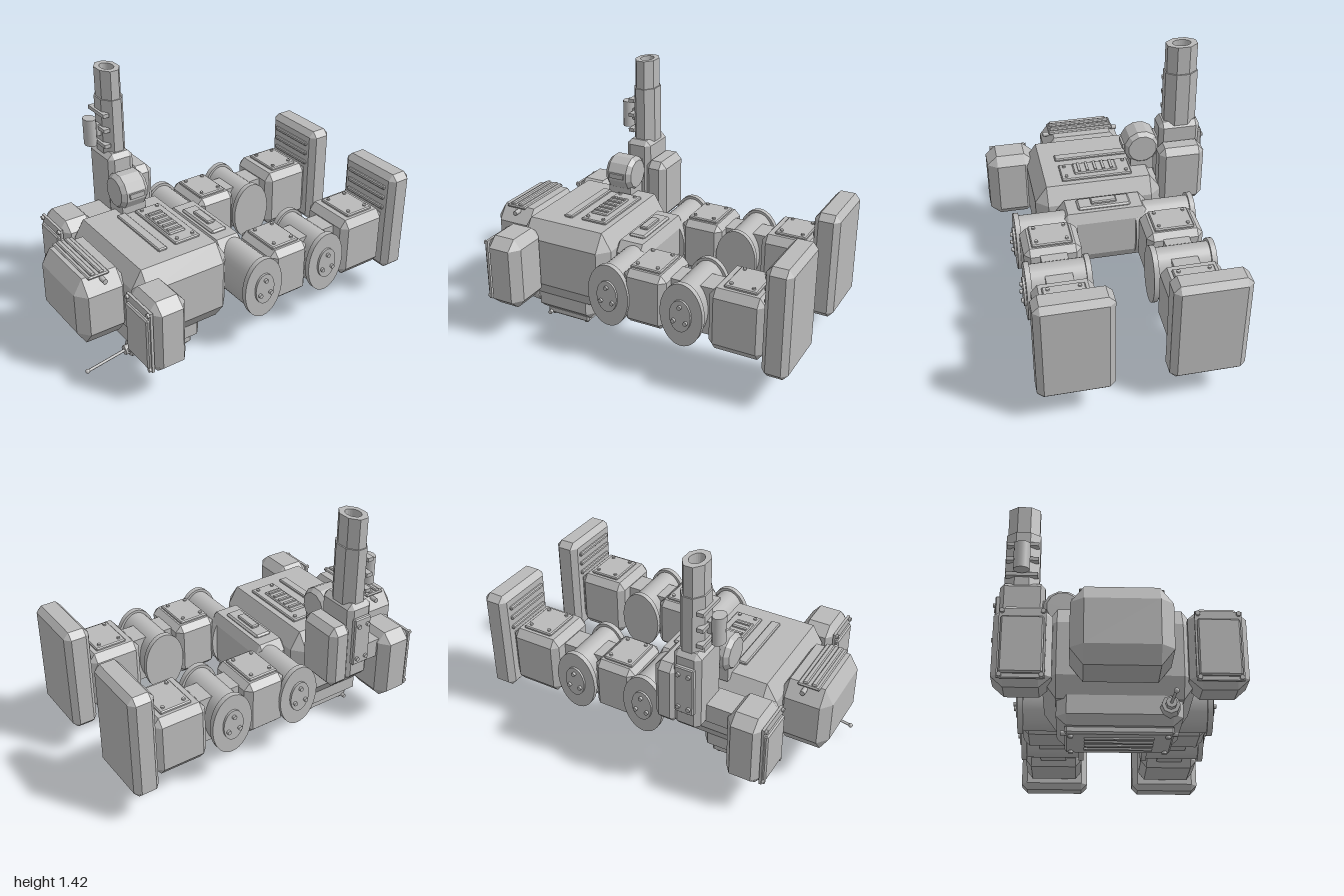
import * as THREE from 'three';
import { ConvexGeometry } from 'three/addons/geometries/ConvexGeometry.js';

const grey = new THREE.MeshStandardMaterial({ color: 0xbababa });
grey.name = 'plain grey';

function add(parent, name, geometry) {
  const mesh = new THREE.Mesh(geometry, grey);
  mesh.name = name;
  parent.add(mesh);
  return mesh;
}

// Block given by its bounds, with every edge cut by the chamfer c = [x, y, z]
function block(parent, name, xs, ys, zs, c) {
  const pts = [];
  for (const i of [0, 1]) for (const j of [0, 1]) for (const k of [0, 1]) {
    const inner = [xs[i] + (i ? -c[0] : c[0]), ys[j] + (j ? -c[1] : c[1]), zs[k] + (k ? -c[2] : c[2])];
    pts.push(new THREE.Vector3(xs[i], inner[1], inner[2]),
      new THREE.Vector3(inner[0], ys[j], inner[2]),
      new THREE.Vector3(inner[0], inner[1], zs[k]));
  }
  return add(parent, name, new ConvexGeometry(pts));
}

function box(parent, name, xs, ys, zs) {
  const g = new THREE.BoxGeometry(xs[1] - xs[0], ys[1] - ys[0], zs[1] - zs[0]);
  g.translate((xs[0] + xs[1]) / 2, (ys[0] + ys[1]) / 2, (zs[0] + zs[1]) / 2);
  return add(parent, name, g);
}

// Cylinder along an axis; p is its centre
function rod(parent, name, axis, p, r, len, sides = 12, r2 = r) {
  const g = new THREE.CylinderGeometry(r2, r, len, sides);
  if (axis === 'x') g.rotateZ(-Math.PI / 2);
  if (axis === 'z') g.rotateX(Math.PI / 2);
  const m = add(parent, name, g);
  m.position.set(...p);
  return m;
}

// Raised plate on an upper face with a bolt in each corner
function topPlate(parent, name, x, z, hw, hd, y) {
  block(parent, name, [x - hw, x + hw], [y - 0.01, y + 0.012], [z - hd, z + hd], [0.006, 0.006, 0.006]);
  for (const i of [-1, 1]) for (const j of [-1, 1])
    rod(parent, 'plateBolt', 'y', [x + i * (hw - 0.03), y + 0.014, z + j * (hd - 0.03)], 0.01, 0.014);
}

function buildLeg(s) {
  const leg = new THREE.Group();
  leg.name = s > 0 ? 'leftLeg' : 'rightLeg';
  const cx = s * 0.348;
  const span = h => [cx - h, cx + h];

  // Hip and knee drums, taller than deep
  for (const [name, z, y, both] of [['hip', 0.04, 0.41, false], ['knee', -0.4, 0.41, true]]) {
    const drum = rod(leg, name + 'Drum', 'x', [cx, y, z], 0.107, 0.35, 36);
    drum.scale.y = 1.57;
    for (const e of both ? [-1, 1] : [1]) {
      const flange = rod(leg, name + 'Flange', 'x', [cx + s * e * 0.165, y, z], 0.124, 0.03, 36);
      flange.scale.y = 1.48;
    }
    const cap = rod(leg, name + 'Cap', 'x', [cx + s * 0.18, y, z], 0.062, 0.025, 28);
    cap.scale.y = 1.5;
    for (const [by, bz] of [[0.055, 0], [-0.03, 0.035], [-0.03, -0.035]])
      rod(leg, name + 'Bolt', 'x', [cx + s * 0.195, y + by, z + bz], 0.012, 0.024);
  }

  // Thigh, shin and the links between joints
  block(leg, 'thigh', span(0.163), [0.26, 0.58], [-0.29, -0.035], [0.035, 0.035, 0.035]);
  topPlate(leg, 'thighPlate', cx, -0.155, 0.115, 0.09, 0.582);
  block(leg, 'shin', span(0.168), [0.24, 0.6], [-0.85, -0.54], [0.035, 0.045, 0.035]);
  topPlate(leg, 'shinPlate', cx, -0.7, 0.115, 0.092, 0.602);
  box(leg, 'kneeLink', span(0.075), [0.27, 0.55], [-0.56, -0.27]);
  box(leg, 'ankleLink', span(0.13), [0.3, 0.56], [-0.9, -0.82]);

  // Foot plate with raised bars on its upper side
  block(leg, 'foot', span(0.205), [0.19, 0.815], [-1, -0.855], [0.035, 0.035, 0.03]);
  for (const y of [0.73, 0.665, 0.6])
    block(leg, 'footBar', span(0.15), [y - 0.012, y + 0.012], [-0.865, -0.84], [0.006, 0.006, 0.006]);
  return leg;
}

function buildArm(s) {
  const arm = new THREE.Group();
  arm.name = s > 0 ? 'leftArm' : 'rightArm';
  const cx = s * 0.475;
  block(arm, 'armBlock', [cx - 0.145, cx + 0.145], [0.195, 0.625], [0.575, 0.79], [0.06, 0.055, 0.045]);
  block(arm, 'armPlate', [cx - 0.105, cx + 0.105], [0.245, 0.545], [0.78, 0.812], [0.008, 0.008, 0.008]);
  box(arm, 'armPlateBase', [cx - 0.115, cx + 0.115], [0.225, 0.59], [0.78, 0.795]);
  for (const i of [-1, 1]) for (const y of [0.575, 0.237])
    rod(arm, 'armBolt', 'z', [cx + i * 0.1, y, 0.798], 0.012, 0.02);
  return arm;
}

function buildCannon() {
  const cannon = new THREE.Group();
  cannon.name = 'cannon';
  const cx = -0.515, cz = 0.362;
  block(cannon, 'cannonBase', [cx - 0.115, cx + 0.13], [0.46, 0.94], [0.285, 0.445], [0.025, 0.03, 0.03]);
  block(cannon, 'cannonPod', [-0.635, -0.365], [0.45, 0.825], [0.172, 0.31], [0.035, 0.04, 0.035]);
  box(cannon, 'cannonLink', [-0.55, -0.39], [0.48, 0.59], [0.42, 0.6]);
  block(cannon, 'sidePlate', [-0.65, -0.62], [0.57, 0.86], [0.31, 0.42], [0.006, 0.006, 0.006]);
  for (const y of [0.61, 0.815]) for (const z of [0.335, 0.395])
    rod(cannon, 'sideBolt', 'x', [-0.652, y, z], 0.012, 0.02);

  // Flattened eight-sided barrel with an open bore
  const oct = (rx, rz) => Array.from({ length: 8 }, (_, i) => {
    const a = (i + 0.5) * Math.PI / 4, k = 1 / Math.cos(Math.PI / 8);
    return new THREE.Vector2(Math.cos(a) * rx * k, Math.sin(a) * rz * k);
  });
  const tube = (name, rx, rz, y0, y1, bore) => {
    const shape = new THREE.Shape(oct(rx, rz));
    if (bore) shape.holes.push(new THREE.Path().absellipse(0, 0, rx * 0.6, rz * 0.6, 0, Math.PI * 2, true));
    const g = new THREE.ExtrudeGeometry(shape, { depth: y1 - y0, bevelEnabled: false, curveSegments: 12 });
    g.rotateX(-Math.PI / 2);
    add(cannon, name, g).position.set(cx, y0, cz);
  };
  tube('lowerBarrel', 0.095, 0.07, 0.92, 1.255, false);
  tube('upperBarrel', 0.088, 0.062, 1.25, 1.425, true);
  for (const y of [0.985, 1.08, 1.172])
    box(cannon, 'barrelBand', [cx - 0.088, cx + 0.088], [y - 0.011, y + 0.011], [0.41, 0.447]);
  const sight = rod(cannon, 'sight', 'y', [cx, 1.065, 0.49], 0.045, 0.16, 12);
  sight.scale.z = 0.8;
  box(cannon, 'sightMount', [cx - 0.02, cx + 0.02], [1.03, 1.1], [0.42, 0.47]);

  // Ammunition drum beside the cannon
  const dx = -0.29, dy = 0.77, turn = Math.PI / 12;
  const profile = [[0, -0.085], [0.085, -0.085], [0.107, -0.06], [0.107, 0.06], [0.085, 0.085], [0, 0.085]]
    .map(p => new THREE.Vector2(...p));
  const drum = new THREE.LatheGeometry(profile, 12, turn).rotateX(Math.PI / 2).toNonIndexed();
  drum.computeVertexNormals();
  add(cannon, 'drum', drum).position.set(dx, dy, 0.395);
  box(cannon, 'drumMount', [dx - 0.07, dx + 0.07], [0.62, 0.7], [0.32, 0.47]);
  box(cannon, 'drumLink', [-0.42, -0.33], [0.71, 0.83], [0.33, 0.43]);
  box(cannon, 'drumLatch', [dx + 0.09, dx + 0.115], [0.76, 0.79], [0.35, 0.44]);
  return cannon;
}

export function createModel() {
  const model = new THREE.Group();
  model.name = 'recliningRobot';
  const root = new THREE.Group();
  root.name = 'body';
  root.position.x = 0.02;
  model.add(root);

  // Torso with vent panel and bar on top
  block(root, 'torso', [-0.38, 0.38], [0.17, 0.65], [0.145, 0.735], [0.07, 0.1, 0.06]);
  topPlate(root, 'torsoPanel', 0, 0.32, 0.21, 0.08, 0.652);
  block(root, 'ventFrame', [-0.13, 0.13], [0.65, 0.673], [0.28, 0.385], [0.006, 0.006, 0.006]);
  for (let i = -2; i <= 2; i++) box(root, 'ventSlat', [i * 0.048 - 0.008, i * 0.048 + 0.008], [0.66, 0.682], [0.29, 0.375]);
  block(root, 'torsoBar', [-0.22, 0.22], [0.645, 0.665], [0.455, 0.51], [0.006, 0.006, 0.006]);

  // Head with a ridged visor on top
  block(root, 'head', [-0.245, 0.245], [0.225, 0.63], [0.7, 1], [0.065, 0.085, 0.05]);
  block(root, 'visorBase', [-0.205, 0.205], [0.62, 0.637], [0.8, 0.925], [0.006, 0.006, 0.006]);
  for (const z of [0.84, 0.89])
    block(root, 'visorRidge', [-0.195, 0.195], [0.63, 0.648], [z - 0.015, z + 0.015], [0.006, 0.006, 0.006]);
  for (const s of [-1, 1]) rod(root, 'headBolt', 'x', [s * 0.215, 0.605, 0.845], 0.014, 0.05);

  // Waist block between the legs
  block(root, 'waist', [-0.265, 0.265], [0.24, 0.59], [-0.035, 0.165], [0.045, 0.06, 0.03]);
  block(root, 'waistPanel', [-0.155, 0.155], [0.58, 0.605], [0.02, 0.12], [0.01, 0.01, 0.01]);
  block(root, 'waistLatch', [-0.075, 0.075], [0.6, 0.622], [0.045, 0.095], [0.006, 0.006, 0.006]);

  // Pack underneath, with a slatted and bolted hatch
  block(root, 'pack', [-0.307, 0.307], [0.045, 0.25], [0.29, 0.685], [0.05, 0.045, 0.04]);
  block(root, 'packHatch', [-0.265, 0.265], [0.012, 0.06], [0.34, 0.625], [0.01, 0.01, 0.01]);
  for (let i = 0; i < 4; i++)
    box(root, 'hatchSlat', [-0.17, 0.17], [0.004, 0.02], [0.4 + i * 0.05, 0.42 + i * 0.05]);
  for (const x of [-0.235, 0.235]) for (const z of [0.37, 0.595])
    rod(root, 'hatchBolt', 'y', [x, 0.01, z], 0.013, 0.02);
  for (const s of [-1, 1]) rod(root, 'hatchPin', 'x', [s * 0.27, 0.022, 0.6], 0.012, 0.03);

  // Antenna
  rod(root, 'antennaBase', 'z', [0.24, 0.125, 0.7], 0.05, 0.06, 8, 0.045);
  rod(root, 'antennaCollar', 'z', [0.24, 0.125, 0.74], 0.027, 0.04, 8);
  const path = new THREE.LineCurve3(new THREE.Vector3(0.24, 0.128, 0.74), new THREE.Vector3(0.24, 0.088, 0.985));
  add(root, 'antennaRod', new THREE.TubeGeometry(path, 1, 0.008, 8));
  add(root, 'antennaTip', new THREE.SphereGeometry(0.013, 10, 8)).position.copy(path.v2);

  for (const s of [-1, 1]) root.add(buildLeg(s), buildArm(s));
  root.add(buildCannon());
  return model;
}
